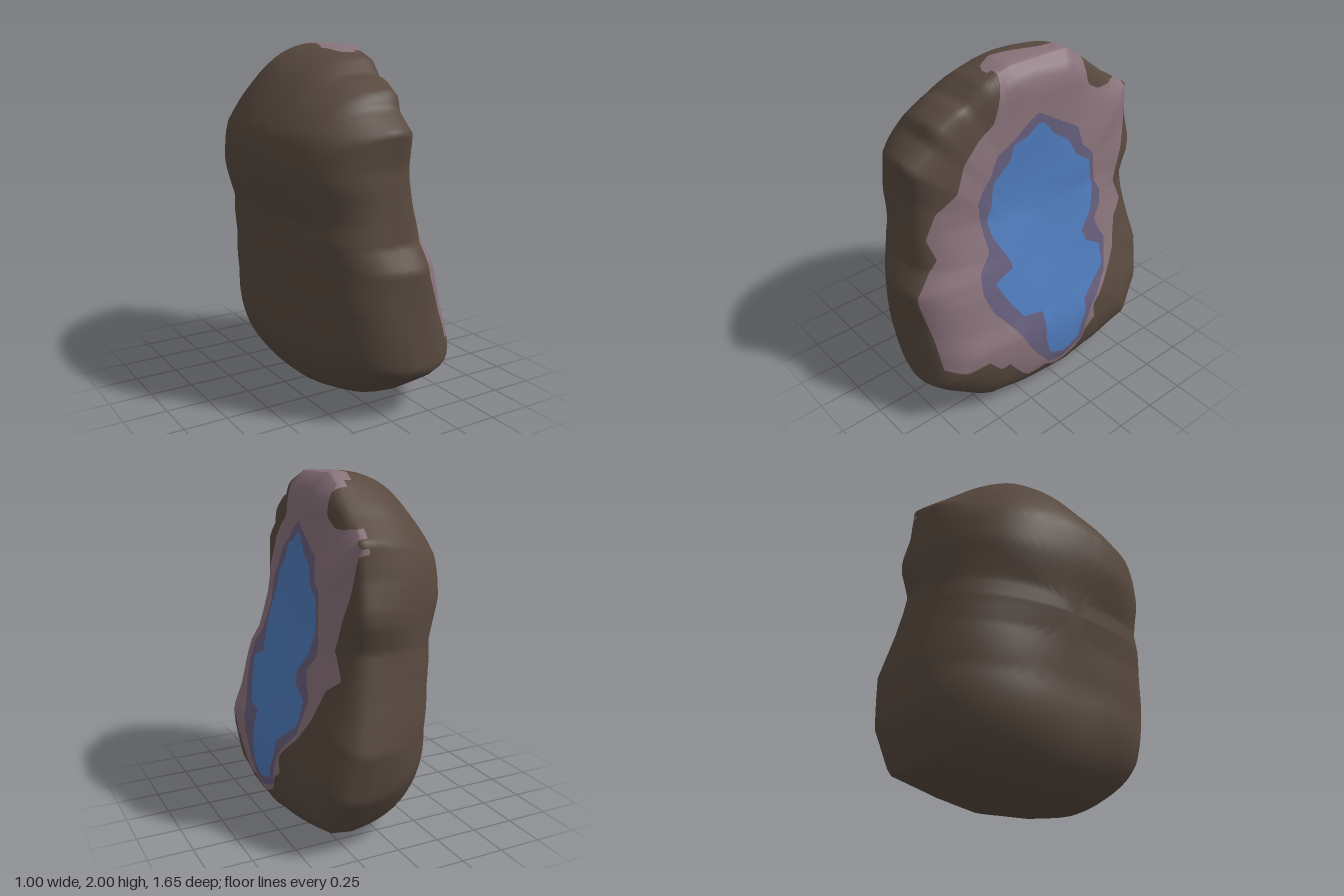
import * as THREE from 'three';

// Outlines of the stone and of its coloured zones, as [z, y] around the centre (0, 1)
const STONE = [[.13, 1.99], [-.25, 2], [-.34, 1.94], [-.53, 1.79], [-.69, 1.69], [-.71, 1.5], [-.75, 1.34], [-.75, 1.27],
  [-.71, 1.12], [-.76, .87], [-.82, .61], [-.78, .34], [-.65, .12], [-.34, .04], [-.07, 0], [.27, .02], [.52, .06],
  [.75, .21], [.82, .27], [.82, .6], [.83, .85], [.76, .98], [.73, 1.38], [.76, 1.58], [.62, 1.68], [.59, 1.76],
  [.46, 1.83], [.4, 1.84], [.3, 1.93]];
const CORE = [[0, 1.66], [-.04, 1.65], [-.1, 1.57], [-.2, 1.5], [-.25, 1.4], [-.34, 1.34], [-.36, 1.15], [-.33, 1.04],
  [-.24, .93], [-.29, .81], [-.37, .8], [-.37, .67], [-.3, .61], [-.18, .52], [-.19, .45], [-.14, .35], [-.13, .28],
  [0, .23], [.1, .28], [.13, .37], [.14, .59], [.27, .61], [.34, .72], [.41, .86], [.28, .9], [.29, .96], [.36, 1.1],
  [.37, 1.2], [.33, 1.28], [.31, 1.39], [.2, 1.49], [.16, 1.58], [.08, 1.6]];
const BAND = [[0, 1.72], [-.1, 1.66], [-.2, 1.6], [-.27, 1.56], [-.3, 1.44], [-.37, 1.38], [-.38, 1.2], [-.42, 1.12],
  [-.41, 1.04], [-.35, .97], [-.37, .9], [-.42, .82], [-.38, .62], [-.3, .53], [-.23, .45], [-.19, .35], [-.16, .24],
  [0, .18], [.1, .2], [.2, .32], [.25, .4], [.34, .56], [.45, .7], [.49, .82], [.48, .93], [.4, 1.03], [.41, 1.2],
  [.41, 1.31], [.37, 1.38], [.33, 1.42], [.27, 1.54], [.15, 1.61], [.08, 1.67]];
const FACE = [[.24, 1.82], [.21, 1.94], [.2, 2.02], [-.25, 2.02], [-.34, 1.96], [-.36, 1.78],
  [-.44, 1.73], [-.55, 1.73], [-.6, 1.76], [-.69, 1.66], [-.65, 1.4], [-.62, 1.3], [-.56, 1.12], [-.63, .97], [-.54, .9],
  [-.48, .72], [-.4, .6], [-.26, .46], [-.23, .37], [-.27, .36], [-.19, .3], [-.13, .2], [.02, .12], [.12, .19],
  [.25, .17], [.3, .22], [.4, .35], [.45, .33], [.53, .42], [.65, .39], [.76, .42], [.77, .6], [.8, .8], [.8, .85],
  [.7, 1], [.67, 1.05], [.7, 1.16], [.64, 1.3], [.52, 1.4], [.46, 1.55], [.37, 1.65], [.27, 1.72]];

// Profiles over height: middle plane, front face and depth of the back
const MIDDLE = [[0, .2], [.5, .12], [1, .05], [1.5, .06], [2, .1]];
const FRONT = [[0, .62], [.12, .61], [.3, .56], [.5, .51], [.6, .46], [.8, .4], [1, .345], [1.2, .29], [1.4, .27],
  [1.6, .265], [1.75, .27], [2, .33]];
const BACK = [[0, .82], [.12, .7], [.27, .64], [.6, .51], [.85, .475], [1.1, .485], [1.32, .565], [1.55, .61],
  [1.77, .575], [2, .58]];
// How far the mauve face runs over the top of the stone, by z
const OVERHANG = [[-.33, 0], [-.1, .06], [.1, .15], [.2, .1], [.25, 0]];

function lookup(table, v) {
  for (let i = 1; i < table.length; i++) {
    const [a, b] = [table[i - 1], table[i]];
    if (v <= b[0]) return THREE.MathUtils.mapLinear(Math.max(v, a[0]), a[0], b[0], a[1], b[1]);
  }
  return table[table.length - 1][1];
}

// Distance from the centre to an outline in direction phi
function reach(outline, phi) {
  const dz = Math.cos(phi), dy = Math.sin(phi);
  let best = 0;
  outline.forEach(([z, y0], i) => {
    const [z2, y2] = outline[(i + 1) % outline.length];
    const y = y0 - 1, ez = z2 - z, ey = y2 - y0;
    const den = dz * ey - dy * ez;
    if (Math.abs(den) < 1e-9) return;
    const r = (z * ey - y * ez) / den, s = (z * dy - y * dz) / den;
    if (s >= -1e-6 && s <= 1 + 1e-6) best = Math.max(best, r);
  });
  return best;
}

function softReach(phi) {
  let sum = 0;
  for (let i = -4; i <= 4; i++) sum += reach(STONE, phi + i * .07);
  return sum / 9;
}

// Angle a runs over the stone from the front centre (0) across the rim (PI/2) to the back centre (PI)
const NF = 2.8, NB = 2.5, RIM = Math.PI / 2;
const frontAngle = (t) => Math.asin(t ** (NF / 2));

function surfacePoint(phi, a, radius, soft) {
  const front = a <= RIM, n = front ? NF : NB;
  const t = Math.max(Math.sin(a), 0) ** (2 / n), bulge = Math.abs(Math.cos(a)) ** (2 / n);
  // The ragged rim outline softens towards the back
  const r = front ? radius : THREE.MathUtils.lerp(radius, soft, Math.min(bulge * 1.5, 1));
  const z = r * t * Math.cos(phi), y = 1 + r * t * Math.sin(phi);
  // The rim swings forward on the far side and slightly back on the near side
  const swing = z < 0 ? .13 + .07 * THREE.MathUtils.clamp((y - 1) / .4, 0, 1) : -.05;
  const mid = lookup(MIDDLE, y) + swing * z * z;
  if (front) {
    const tilt = -.09 * z * THREE.MathUtils.clamp((y - .8) / .5, 0, 1);
    const ripple = .005 * Math.sin(9 * z + 5 * y) * Math.sin(8 * y);
    return [mid + (lookup(FRONT, y) - mid + tilt + ripple) * bulge, y, z];
  }
  const bumps = .006 * Math.sin(9 * z + 2 * y) * Math.sin(7 * y + 1);
  return [mid - (lookup(BACK, y) + bumps) * bulge, y, z];
}

export function createModel() {
  const N = 240;
  const parts = Object.fromEntries([
    ['blueCore', 'blue mineral', 0x4e7aba], ['violetBand', 'violet mineral', 0x655d7b],
    ['mauveFace', 'mauve stone', 0x89727a], ['brownShell', 'brown stone', 0x58493f],
  ].map(([part, name, color]) => {
    const material = new THREE.MeshStandardMaterial({ color });
    material.name = name;
    return [part, { material, index: [] }];
  }));

  // Ring spans from front to back; the part may vary with the column
  const spans = [
    { rings: 8, part: () => 'blueCore' },
    { rings: 2, part: () => 'violetBand' },
    { rings: 7, part: () => 'mauveFace' },
    { rings: 6, part: (column) => column.open ? 'mauveFace' : 'brownShell' },
    { rings: 3, part: (column) => column.over ? 'mauveFace' : 'brownShell' },
    { rings: 22, part: () => 'brownShell' },
  ];
  const total = spans.reduce((sum, span) => sum + span.rings, 0);
  const id = (k, j) => k === 0 ? 0 : k === total ? 1 + (total - 1) * N : 1 + (k - 1) * N + j % N;
  const positions = [];
  const put = (i, p) => p.forEach((v, c) => { positions[i * 3 + c] = v; });

  // Rings follow the zone borders and the rim, so every edge is a row of vertices
  const columns = [];
  for (let j = 0; j < N; j++) {
    const phi = j / N * Math.PI * 2 + .001;
    const radius = reach(STONE, phi), soft = softReach(phi);
    const core = reach(CORE, phi) / radius;
    const band = Math.max(reach(BAND, phi) / radius, core + .015);
    const face = THREE.MathUtils.clamp(reach(FACE, phi) / radius, band + .015, .993);
    const overhang = Math.sin(phi) > 0 ? lookup(OVERHANG, radius * Math.cos(phi)) : 0;
    const cap = Math.max(RIM + .04, Math.PI - Math.acos((overhang / .58) ** (NB / 2)));
    columns.push({ open: face >= .993, over: overhang > .01 });
    const borders = [0, core, band, face];
    const angles = [...borders.map(frontAngle), RIM, cap, Math.PI];
    let k = 0;
    spans.forEach(({ rings }, q) => {
      for (let s = 1; s <= rings; s++) {
        const f = s / rings;
        const a = q < 3 ? frontAngle(THREE.MathUtils.lerp(borders[q], borders[q + 1], f))
          : THREE.MathUtils.lerp(angles[q], angles[q + 1], f);
        put(id(++k, j), surfacePoint(phi, a, radius, soft));
      }
    });
  }
  put(0, surfacePoint(0, 0, 1, 1));

  // Faces of each part
  let k = 0;
  for (const { rings, part } of spans) {
    for (let s = 0; s < rings; s++, k++) {
      for (let j = 0; j < N; j++) {
        const { index } = parts[part(columns[j])];
        if (k < total - 1) index.push(id(k, j), id(k + 1, j + 1), id(k + 1, j));
        if (k > 0) index.push(id(k, j), id(k, j + 1), id(k + 1, j + 1));
      }
    }
  }

  // Shared smooth normals keep the parts seamless
  const whole = new THREE.BufferGeometry();
  whole.setAttribute('position', new THREE.Float32BufferAttribute(positions, 3));
  whole.setIndex(Object.values(parts).flatMap(({ index }) => index));
  whole.computeVertexNormals();

  const group = new THREE.Group();
  group.name = 'geodeStone';
  for (const [name, { material, index }] of Object.entries(parts)) {
    const geometry = new THREE.BufferGeometry();
    geometry.setAttribute('position', whole.getAttribute('position'));
    geometry.setAttribute('normal', whole.getAttribute('normal'));
    geometry.setIndex(index);
    const mesh = new THREE.Mesh(geometry, material);
    mesh.name = name;
    group.add(mesh);
  }
  return group;
}
